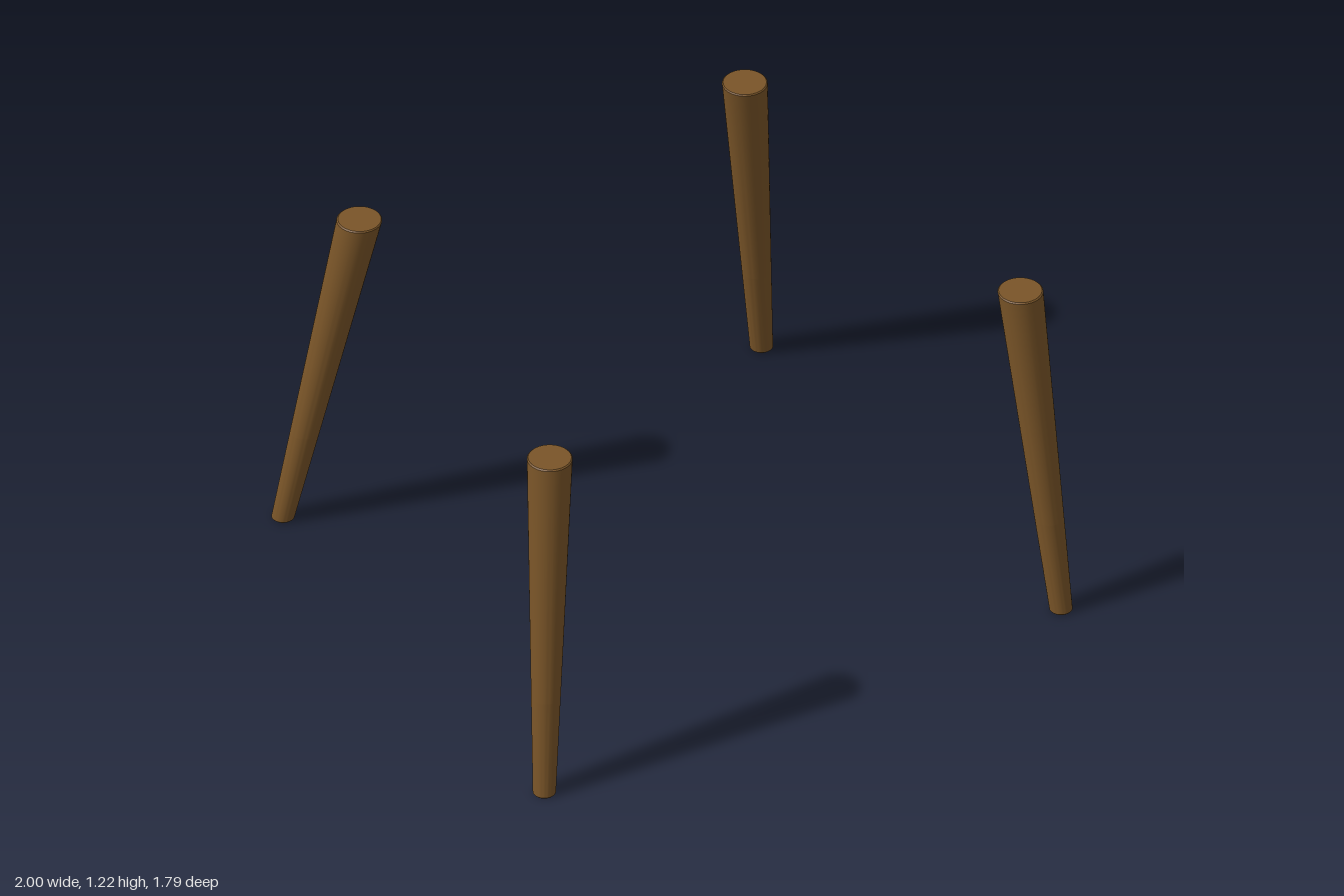
import * as THREE from 'three';
import { toCreasedNormals } from 'three/addons/utils/BufferGeometryUtils.js';

const HEIGHT = 1.216, SEAM = 0.35, R_FOOT = 0.037, R_TOP = 0.073, BEVEL = 0.004;
const radiusAt = (y) => THREE.MathUtils.lerp(R_FOOT, R_TOP, y / HEIGHT);

// Turned section whose level slices slide from the foot centre to the top centre
function splayedSection(profile, foot, top) {
  const geo = new THREE.LatheGeometry(profile.map(([r, y]) => new THREE.Vector2(r, y)), 40);
  const pos = geo.attributes.position;
  for (let i = 0; i < pos.count; i++) {
    const t = pos.getY(i) / HEIGHT;
    pos.setX(i, pos.getX(i) + THREE.MathUtils.lerp(foot[0], top[0], t));
    pos.setZ(i, pos.getZ(i) + THREE.MathUtils.lerp(foot[1], top[1], t));
  }
  return toCreasedNormals(geo, 0.5);
}

export function createModel() {
  const model = new THREE.Group();
  model.name = 'tableLegs';
  const wood = new THREE.MeshStandardMaterial({ color: 0x7a5528 });

  // Lower tip and upper shaft meet at the seam; outer ends are cut level
  const tip = [[0, 0], [R_FOOT - BEVEL, 0], [R_FOOT, BEVEL], [radiusAt(SEAM), SEAM]];
  const shaft = [[radiusAt(SEAM), SEAM], [R_TOP, HEIGHT - BEVEL], [R_TOP - BEVEL, HEIGHT], [0, HEIGHT]];

  // Foot and top centres as [x, z]; the back pair splays more
  const pairs = [
    { name: 'front', foot: [0.963, 0.86], top: [0.877, 0.752] },
    { name: 'back', foot: [0.892, -0.858], top: [0.718, -0.674] },
  ];
  for (const { name, foot, top } of pairs) {
    for (const side of [1, -1]) {
      const leg = new THREE.Group();
      leg.name = name + (side > 0 ? 'LeftLeg' : 'RightLeg');
      for (const [part, profile] of [['legTip', tip], ['legShaft', shaft]]) {
        const geo = splayedSection(profile, [side * foot[0], foot[1]], [side * top[0], top[1]]);
        const mesh = new THREE.Mesh(geo, wood);
        mesh.name = part;
        leg.add(mesh);
      }
      model.add(leg);
    }
  }
  return model;
}
